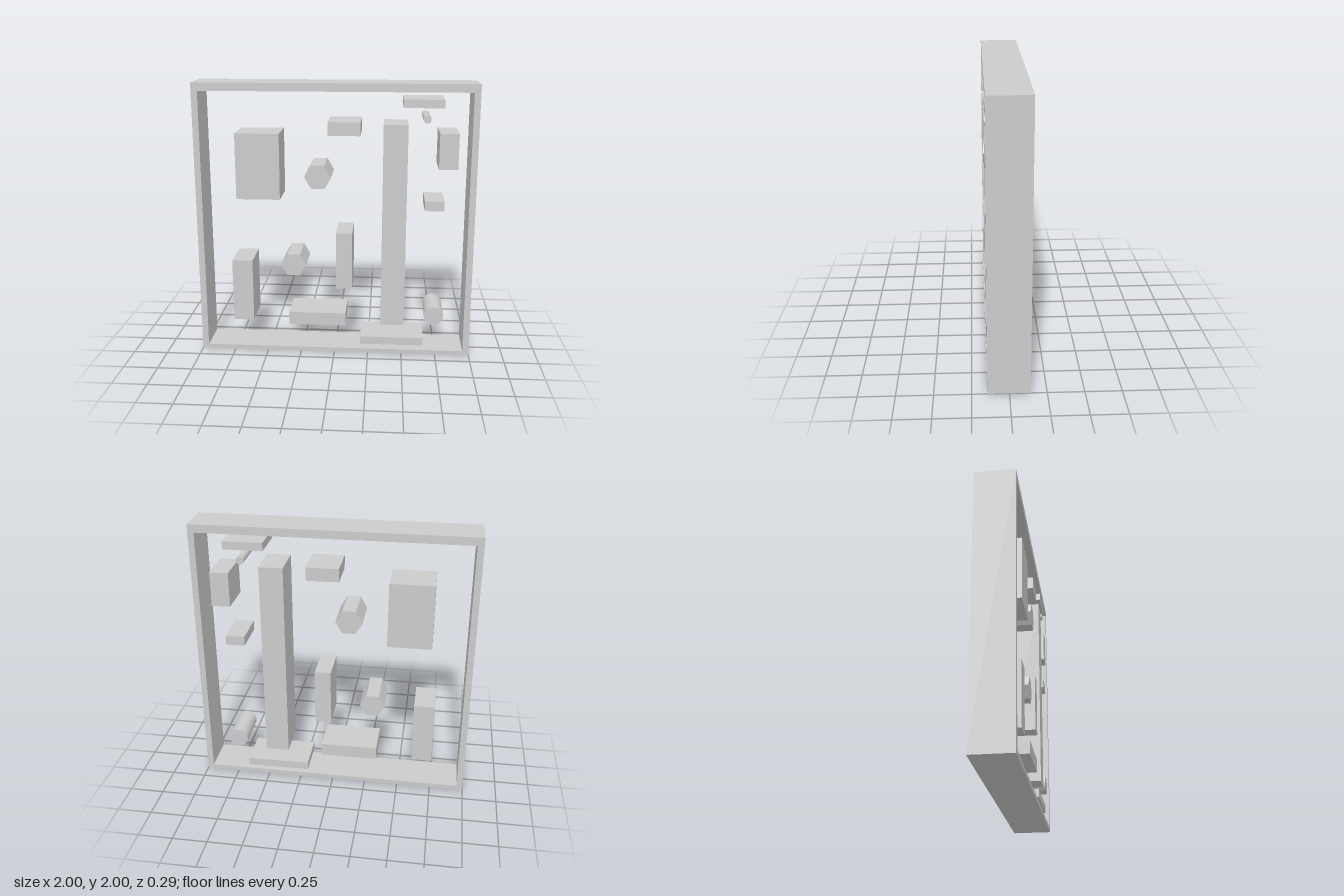
import * as THREE from 'three';

const FRONT = 0.146, BACK = -0.141;
const material = new THREE.MeshStandardMaterial({ color: 0xcccccc });
const facetedMaterial = new THREE.MeshStandardMaterial({ color: 0xcccccc, flatShading: true });

export function createModel() {
  const group = new THREE.Group();

  const add = (name, geometry, mat = material) => {
    const mesh = new THREE.Mesh(geometry, mat);
    mesh.name = name;
    group.add(mesh);
    return mesh;
  };

  // Block given by its front outline, running through the frame's depth
  const block = (name, x0, x1, y0, y1, back = BACK) => {
    const mesh = add(name, new THREE.BoxGeometry(x1 - x0, y1 - y0, FRONT - back));
    mesh.position.set((x0 + x1) / 2, (y0 + y1) / 2, (FRONT + back) / 2);
  };

  // Round or hexagonal bar along z, with corners on the x axis
  const bar = (name, x, y, radius, sides) => {
    const geometry = new THREE.CylinderGeometry(radius, radius, FRONT - BACK, sides, 1, false, Math.PI / 2);
    geometry.rotateX(Math.PI / 2);
    add(name, geometry, sides === 6 ? facetedMaterial : material)
      .position.set(x, y, (FRONT + BACK) / 2);
  };

  // Square outer frame, with a thinner bottom rail
  const rectangle = (path, x, y0, y1) =>
    path.moveTo(-x, y0).lineTo(x, y0).lineTo(x, y1).lineTo(-x, y1).closePath();
  const outline = new THREE.Shape();
  rectangle(outline, 1, 0, 2);
  const opening = new THREE.Path();
  rectangle(opening, 0.955, 0.033, 1.942);
  outline.holes.push(opening);
  add('frame', new THREE.ExtrudeGeometry(outline, { depth: FRONT - BACK, bevelEnabled: false }))
    .position.z = BACK;

  // Blocks floating inside the frame
  block('column', 0.343, 0.515, 0.23, 1.717);
  block('largeBlock', -0.705, -0.39, 1.172, 1.647);
  block('upperBlock', -0.047, 0.183, 1.637, 1.733);
  block('upperSideBlock', 0.733, 0.867, 1.407, 1.66);
  block('smallSideBlock', 0.643, 0.782, 1.107, 1.177);
  block('middleBlock', 0.012, 0.13, 0.508, 0.93);
  block('lowerSideBlock', -0.752, -0.602, 0.242, 0.708);
  block('lowerBlock', -0.335, 0.083, 0.215, 0.311);

  // Thin slats standing slightly proud of the back
  block('topSlat', 0.477, 0.76, 1.835, 1.893, -0.147);
  block('bottomSlat', 0.193, 0.66, 0.07, 0.129, -0.147);

  // Hexagonal and round bars
  bar('upperHexBar', -0.118, 1.341, 0.097, 6);
  bar('lowerHexBar', -0.297, 0.682, 0.092, 6);
  bar('largeRoundBar', 0.733, 0.307, 0.07, 48);
  bar('smallRoundBar', 0.643, 1.757, 0.028, 32);

  return group;
}
